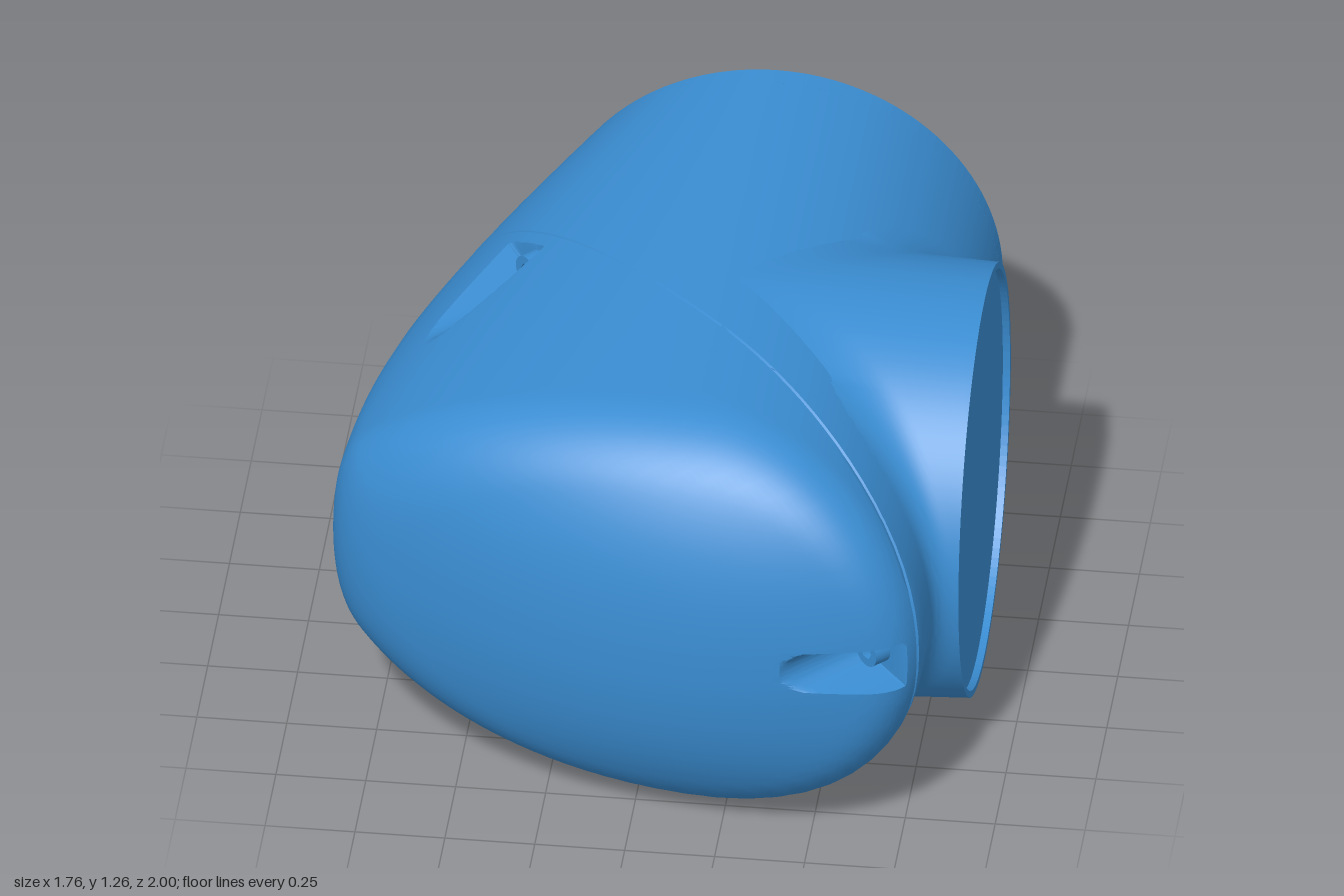
import * as THREE from 'three';
import { toCreasedNormals } from 'three/addons/utils/BufferGeometryUtils.js';

const V = (x, y, z) => new THREE.Vector3(x, y, z);
const MID = 0.635, R = 0.63, AXIS = 0.18;            // axis height, pipe radius, pipe axis x
const REAR = V(AXIS, MID, -1), SEAM = V(0.075, MID, 0.145);
const S = V(1, 0, 1).normalize(), N = V(-1, 0, 1).normalize(), UP = V(0, 1, 0);
const blue = new THREE.MeshStandardMaterial({ color: 0x3a8dd2 });

// Screw pockets around the seam: angle in the seam plane and distance of the screw from its centre
const WALL = 0.05, POCKET_R = 0.065;
const pockets = [[0, 0.92], [2.5, 0.75], [-2.5, 0.75]].map(([a, u]) => ({
  a, u, out: S.clone().multiplyScalar(Math.cos(a)).addScaledVector(UP, Math.sin(a)),
  side: S.clone().multiplyScalar(-Math.sin(a)).addScaledVector(UP, Math.cos(a)),
}));

// Recessed plate on the rear of the outer wall
const PLATE = V(-0.555, MID, -0.8), PLATE_OUT = V(-0.91, 0, -0.41).normalize();

const smax = (a, b, k) => {
  const h = Math.max(k - Math.abs(a - b), 0);
  return Math.max(a, b) + (k > 0 ? h * h / (4 * k) : 0);
};

// Negative inside the elbow: stretched pipe, flattened outer end and domed front, softly joined
function body(p) {
  const x = p.x, y = p.y - MID, z = p.z, dx = x - AXIS;
  const left = -0.885 + 0.18 * (z - 0.55) ** 2, g = Math.max(0, (z + 1) / 1.5);
  const a = dx < 0 ? (AXIS - left) * (1 + 0.06 * g) : R;
  const pipe = (Math.hypot(dx / a, y / R) - 1) * R;
  const end = left + 0.3 * y * y - x;
  const front = z - 1 + 0.3 * (x - 0.36) ** 2 + 0.35 * y * y + 0.6 * y ** 4;
  return smax(smax(pipe, end, 0.05 * g), front, 0.14);
}

function inPocket(p) {
  const d = p.clone().sub(SEAM);
  if (d.dot(N) < WALL) return false;
  return pockets.some(k => {
    const u = d.dot(k.out) - k.u, w = d.dot(k.side);
    return Math.abs(w) < POCKET_R && (u > 0 || Math.hypot(u, w) < POCKET_R);
  });
}

function inPlate(p) {
  const d = p.clone().sub(PLATE), deep = d.dot(PLATE_OUT);
  const along = d.x * -PLATE_OUT.z + d.z * PLATE_OUT.x;
  return deep > -0.03 && deep < 0.1 && Math.hypot(along, Math.max(0, Math.abs(d.y) - 0.1)) < 0.055;
}

// First point where a ray from inside leaves the solid
function cast(origin, dir, cut) {
  const at = t => origin.clone().addScaledVector(dir, t);
  const outside = t => { const p = at(t); return body(p) > 0 || cut(p); };
  let hi = 0.3;
  while (hi < 2 && !outside(hi)) hi += 0.02;
  let lo = hi - 0.02;
  for (let i = 0; i < 18; i++) {
    const m = (lo + hi) / 2;
    if (outside(m)) hi = m; else lo = m;
  }
  return at(lo);
}

// Skin over a grid of rows and columns
function grid(rows, cols, point) {
  const pos = [], index = [], n = cols.length;
  rows.forEach((r, i) => cols.forEach((c, j) => {
    pos.push(...point(r, c).toArray());
    if (i && j) {
      const d = i * n + j, c0 = d - 1, b = d - n, a = b - 1;
      index.push(a, d, c0, a, b, d);
    }
  }));
  const geo = new THREE.BufferGeometry();
  geo.setAttribute('position', new THREE.Float32BufferAttribute(pos, 3));
  geo.setIndex(index);
  return toCreasedNormals(geo.toNonIndexed(), 0.6);
}

const steps = (a, b, n) => Array.from({ length: n + 1 }, (_, i) => a + (b - a) * i / n);
const sorted = list => [...new Set(list)].sort((a, b) => a - b);

// Washer sector between two radii and angles
function arcBand(Type, r0, r1, a0, a1) {
  const s = new Type();
  s.absarc(0, 0, r1, a0, a1, false);
  s.absarc(0, 0, r0, a1, a0, true);
  s.closePath();
  return s;
}

function disc(r, holes, depth) {
  const s = new THREE.Shape();
  s.absarc(0, 0, r, 0, Math.PI * 2);
  s.holes.push(...holes);
  return new THREE.ExtrudeGeometry(s, { depth, bevelEnabled: false, curveSegments: 64 });
}

export function createModel() {
  const group = new THREE.Group();
  const add = (name, geo, parent = group) => {
    const m = new THREE.Mesh(geo, blue);
    m.name = name;
    parent.add(m);
    return m;
  };

  // Socket screw standing on a surface
  function screw(name, at, dir, r, h) {
    const g = new THREE.Group();
    g.name = name;
    const hex = new THREE.Path();
    for (let i = 0; i <= 6; i++) {
      const a = i * Math.PI / 3;
      hex[i ? 'lineTo' : 'moveTo'](Math.cos(a) * r * 0.5, Math.sin(a) * r * 0.5);
    }
    add('screwHead', disc(r, [hex], h), g);
    add('screwSocketFloor', new THREE.CircleGeometry(r * 0.6, 6), g).position.z = h * 0.4;
    g.position.copy(at);
    g.quaternion.setFromUnitVectors(V(0, 0, 1), dir);
    group.add(g);
  }

  // Cap in front of the diagonal seam, with its screw pockets
  const wrap = a => (a + Math.PI * 2) % (Math.PI * 2);
  const capCols = sorted([...steps(0, Math.PI * 2, 96),
    ...pockets.flatMap(k => steps(k.a - 0.13, k.a + 0.13, 40).map(wrap))]);
  const capRows = sorted([0, 0.006, 0.02, ...steps(0.04, 0.085, 16), ...steps(0.09, Math.PI / 2, 64)]);
  add('cap', grid(capRows, capCols, (f, a) => {
    const dir = S.clone().multiplyScalar(Math.cos(f) * Math.cos(a))
      .addScaledVector(UP, Math.cos(f) * Math.sin(a)).addScaledVector(N, Math.sin(f));
    const p = cast(SEAM, dir, inPocket);
    return f === 0 ? p.lerp(SEAM, 0.008) : p;
  }));
  pockets.forEach(k => screw('capScrew',
    SEAM.clone().addScaledVector(k.out, k.u).addScaledVector(N, WALL - 0.005), N, 0.045, 0.055));

  // Housing from the round rear end up to the seam
  const houseCols = sorted([...steps(0, Math.PI * 2, 96), ...steps(Math.PI - 0.3, Math.PI + 0.3, 50)]);
  add('housing', grid([...steps(0, 0.99, 66), 0.995, 1], houseCols, (t, a) => {
    const o = REAR.clone().lerp(SEAM, t);
    const dir = V(1, 0, 0).lerp(S, t).normalize().multiplyScalar(Math.cos(a)).addScaledVector(UP, Math.sin(a));
    const p = cast(o, dir, inPlate);
    return t === 1 ? p.lerp(SEAM, 0.008) : p;
  }));
  for (const y of [-0.085, 0.085])
    screw('plateScrew', PLATE.clone().addScaledVector(PLATE_OUT, -0.035).add(V(0, y, 0)), PLATE_OUT, 0.033, 0.015);

  // Rear face with three arc slots on the arm side
  const slots = [[-1.4, -0.56], [-0.49, 0.49], [0.56, 1.4]]
    .map(([a, b]) => arcBand(THREE.Path, 0.53, 0.595, a, b));
  add('rearFace', disc(R, slots, 0.06)).position.copy(REAR);
  const floor = add('rearSlotFloor', new THREE.CircleGeometry(0.62, 64));
  floor.rotation.y = Math.PI;
  floor.position.set(AXIS, MID, -0.945);

  // Side arm, slightly tapered, with a fillet that fades where it meets the pipe on top
  const END = 0.88, armR = x => 0.632 - 0.041 * (x - AXIS);
  const onPipe = y => AXIS + Math.sqrt(Math.max(0, R * R - y * y));
  add('sideArm', grid(steps(0, 2, 24), steps(0, Math.PI * 2, 128), (t, a) => {
    const s = Math.abs(Math.sin(a));
    let xs = onPipe(0.615 * s);
    xs = onPipe(armR(xs) * s);
    const r = armR(xs), d = 0.07 + 0.07 * s * s;
    const back = Math.max(0, Math.min(d, R / s - r)), x2 = Math.min(END, xs + d);
    let x, q;
    if (t <= 1) {
      const w0 = (1 - t) ** 2, w1 = 2 * t * (1 - t), w2 = t * t;
      x = w0 * onPipe((r + back) * s) + w1 * xs + w2 * x2;
      q = w0 * (r + back) + w1 * r + w2 * armR(x2);
    } else {
      x = x2 + (END - x2) * (t - 1);
      q = armR(x);
    }
    return V(x, MID - q * Math.sin(a), q * Math.cos(a));
  }));

  // Arm rim, recessed end face and its key notch
  const hole = new THREE.Path();
  hole.absarc(0, 0, 0.585, 0, Math.PI * 2);
  const rim = add('armRim', disc(armR(END), [hole], 0.03));
  const notch = arcBand(THREE.Path, 0.515, 0.58, Math.PI - 0.24, Math.PI + 0.24);
  const face = add('armEndFace', disc(0.588, [notch], 0.03));
  for (const [m, x] of [[rim, END - 0.03], [face, END - 0.05]]) {
    m.rotation.y = Math.PI / 2;
    m.position.set(x, MID, 0);
  }
  return group;
}
